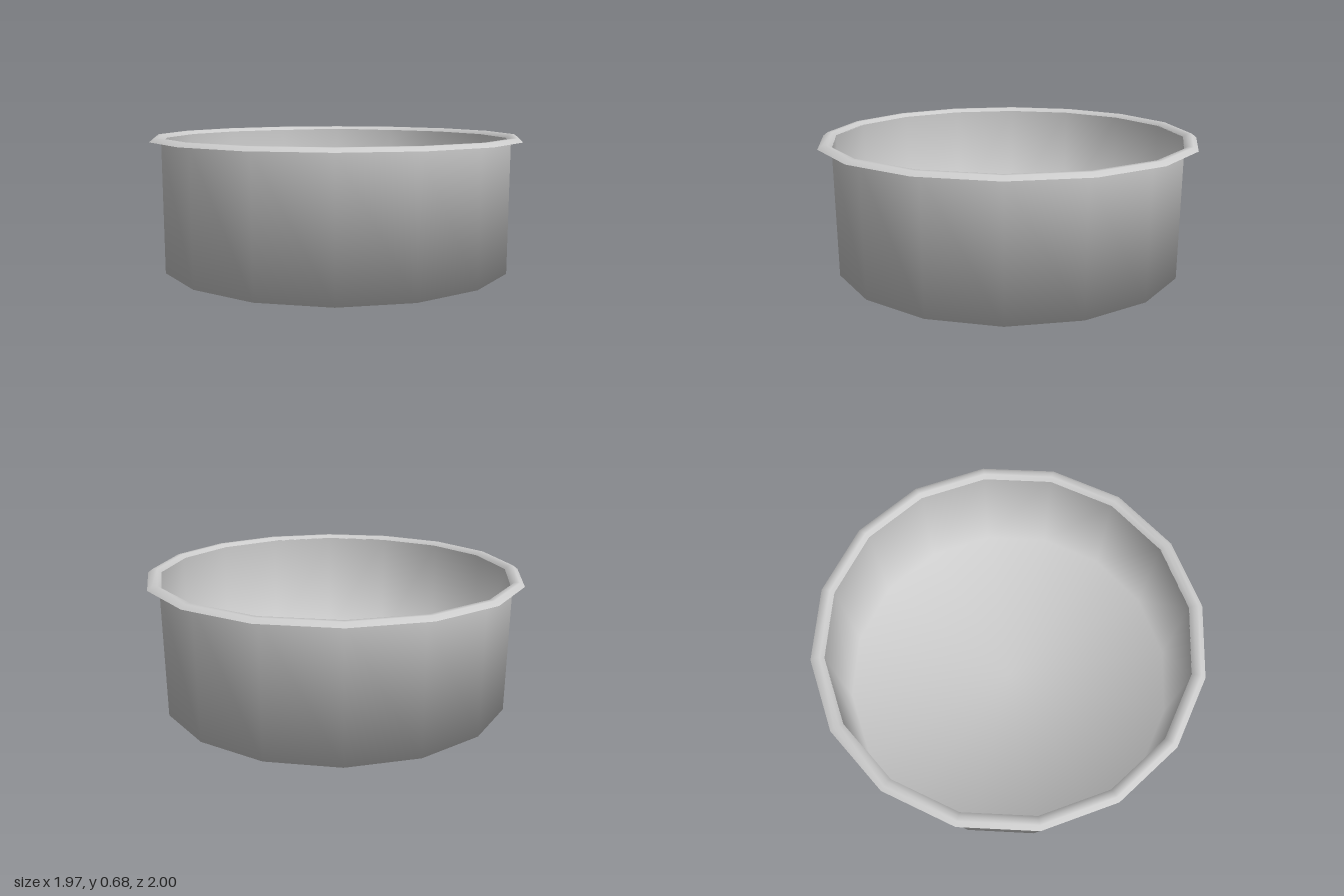
import * as THREE from 'three';

const SIDES = 16;

// Revolve a [radius, height] profile into a smooth-shaded sixteen-sided shell
function revolve(name, profile, material) {
  const points = profile.map(([r, y]) => new THREE.Vector2(r, y));
  const mesh = new THREE.Mesh(new THREE.LatheGeometry(points, SIDES), material);
  mesh.name = name;
  return mesh;
}

export function createModel() {
  const group = new THREE.Group();
  group.name = 'roundPan';
  const material = new THREE.MeshStandardMaterial({ color: 0xcccccc, side: THREE.DoubleSide });

  // Flat base and straight wall as one thin sheet, softly shaded across the bottom corner
  group.add(revolve('panBody', [[0, 0], [0.93, 0], [0.93, 0.665]], material));

  // Rolled lip: from the outer edge over the crown to the top of the wall
  const rim = revolve('rim', [[1, 0.663], [0.975, 0.682], [0.95, 0.682], [0.93, 0.663]], material);
  rim.scale.x = 0.987;
  group.add(rim);

  return group;
}
